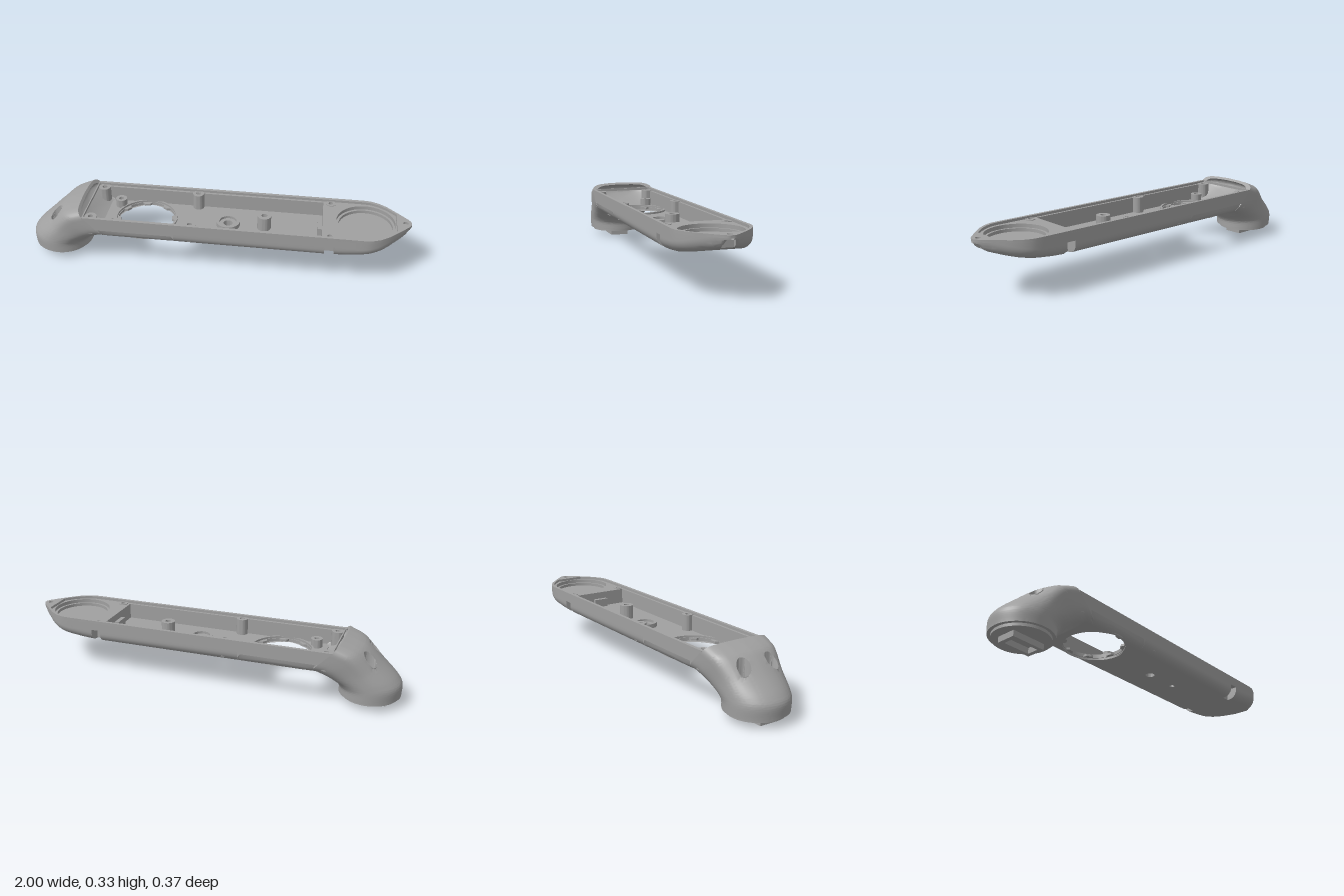
import * as THREE from 'three';
import { toCreasedNormals } from 'three/addons/utils/BufferGeometryUtils.js';

const grey = new THREE.MeshStandardMaterial({ color: 0xa0a0a0, side: THREE.DoubleSide });
grey.name = 'plain grey';

const SLOPE = 0.98;               // tilt of the joint between neck and tray
const HOLE = { x: -0.38, r: 0.157 };
const V = (x, y, z) => new THREE.Vector3(x, y, z);
const clamp = THREE.MathUtils.clamp;

export function createModel() {
  const model = new THREE.Group();
  const add = (name, geo, x = 0, y = 0, z = 0) => {
    const mesh = new THREE.Mesh(geo, grey);
    mesh.name = name;
    mesh.position.set(x, y, z);
    model.add(mesh);
    return mesh;
  };

  // Surface through equal-length rows of points
  const grid = (rows, crease = 0.6) => {
    const n = rows[0].length, index = [];
    for (let i = 0; i < rows.length - 1; i++)
      for (let j = 0; j < n - 1; j++) {
        const a = i * n + j, b = a + n;
        index.push(a, b, a + 1, b, b + 1, a + 1);
      }
    const geo = new THREE.BufferGeometry().setFromPoints(rows.flat());
    geo.setIndex(index);
    return toCreasedNormals(geo, crease);
  };

  // Horizontal plate from an outline in x and z
  const plate = (name, pts, holes, top, depth) => {
    const shape = new THREE.Shape(pts.map(p => new THREE.Vector2(...p)));
    shape.holes = holes.map(h => new THREE.Path(h.map(p => new THREE.Vector2(...p))));
    const geo = new THREE.ExtrudeGeometry(shape, { depth, bevelEnabled: false }).rotateX(Math.PI / 2);
    return add(name, toCreasedNormals(geo, 0.5), 0, top, 0);
  };
  const circle = (cx, cz, r, n = 48) => Array.from({ length: n }, (_, i) => {
    const a = i / n * Math.PI * 2, q = typeof r === 'function' ? r(i) : r;
    return [cx + q * Math.cos(a), cz + q * Math.sin(a)];
  });
  const rect = (x0, x1, w) => [[x0, -w], [x1, -w], [x1, w], [x0, w]];
  const tube = (name, x, z, r, bore, y0, y1) => {
    const pts = [[r, y0], [r, y1], [bore, y1], [bore, y0]].map(p => new THREE.Vector2(...p));
    add(name, toCreasedNormals(new THREE.LatheGeometry(pts, 40), 0.5), x, 0, z);
  };

  // Piecewise profiles along the tray: half width and underside height
  const along = (table, x) => {
    if (x <= table[0][0]) return table[0][1];
    for (let i = 1; i < table.length; i++) {
      const [a, p] = table[i - 1], [b, q] = table[i];
      if (x <= b) return p + (q - p) * (x - a) / (b - a);
    }
    return table.at(-1)[1];
  };
  const width = x => along([[0.76, 0.185], [0.80, 0.181], [0.84, 0.165], [0.88, 0.138], [0.92, 0.1], [0.96, 0.06], [0.985, 0.034], [0.995, 0.02], [1, 0.008]], x);
  const under = x => along([[0.6, 0.18], [0.68, 0.185], [0.76, 0.194], [0.84, 0.208], [0.9, 0.223], [0.95, 0.24], [0.985, 0.265], [1, 0.28]], x);
  const slant = (x, y) => x - (y - 0.18) * SLOPE * clamp((-0.2 - x) / 0.36, 0, 1);

  // Half cross-section of the tray, from the centre line out and up to the rim
  const half = x => {
    const w = width(x), y = under(x), r = Math.min(0.05, w * 0.45), c = w - r, ry = Math.min(0.05, 0.296 - y);
    const pts = [0, 0.029, 0.031, 0.05, 0.09].map(z => [Math.min(z, c), y]);
    for (let i = 0; i <= 8; i++) {
      const a = i / 8 * Math.PI / 2;
      pts.push([c + r * Math.sin(a), y + ry * (1 - Math.cos(a))]);
    }
    pts.push([w, Math.max(0.245, y + ry)], [w, Math.max(0.247, y + ry)], [w, 0.3]);
    return pts.map(([z, h]) => {
      if (x > 0.569 && x < 0.616 && h < 0.246) z = Math.min(z, 0.125);   // side screw pockets
      if (x > 0.946 && z < 0.03) h = Math.max(h, 0.28);                   // nose screw pocket
      return [z, h];
    });
  };
  const stations = [-0.2, 0.2, 0.568, 0.57, 0.615, 0.617];
  for (let i = 0; i <= 16; i++) stations.push(0.64 + i * 0.019);
  stations.push(0.945, 0.947, 0.96, 0.972, 0.985, 0.992, 1);

  for (const s of [1, -1]) {
    const side = s > 0 ? 'left' : 'right';
    add(side + 'TrayShell', grid(stations.filter(x => x < 0.56).concat(0.568).map(x => half(x).slice(3).map(([z, y]) => V(x, y, s * z)))));
    add(side + 'NoseShell', grid(stations.filter(x => x > 0.56).map(x => half(x).map(([z, y]) => V(x, y, s * z)))));
    add(side + 'RearWall', grid([-0.56, -0.38, -0.2].map(x => [0.23, 0.3].map(y => V(slant(x, y), y, s * 0.185)))));
  }
  plate('undersideStrip', rect(-0.2, 0.568, 0.05), [circle(0.06, 0, 0.024), circle(0.25, 0, 0.014)], 0.19, 0.01);

  // Underside around the large round opening
  const ring = [];
  for (let k = 0; k <= 12; k++) ring.push(Array.from({ length: 129 }, (_, i) => {
    const a = i / 128 * Math.PI * 2, c = Math.cos(a), s = Math.sin(a), t = k / 12;
    const edge = Math.min(0.18 / Math.max(Math.abs(c), 1e-6), 0.185 / Math.max(Math.abs(s), 1e-6));
    const d = HOLE.r + (edge - HOLE.r) * t, x = HOLE.x + d * c, z = d * s;
    const q = clamp((Math.abs(z) - 0.135) / 0.05, 0, 1);
    const y = 0.18 + 0.05 * (1 - Math.sqrt(1 - q * q));
    return V(slant(x, y), y, z);
  }));
  add('openingUnderside', grid(ring));
  tube('openingCollar', HOLE.x, 0, 0.167, HOLE.r, 0.187, 0.215);

  // Inner floor with a notched opening and bored holes
  plate('trayFloor', rect(-0.6, 0.56, 0.165),
    [circle(HOLE.x, 0, i => (i % 12 < 8 ? 0.153 : 0.137), 96), circle(0.06, 0, 0.024), circle(0.25, 0, 0.014)], 0.205, 0.012);

  // Rim, ledge and side walls
  const outline = (x0, xs, inset) => {
    const p = [x0, ...xs].map(x => [x, width(x) - inset]);
    return [...p, ...p.reverse().map(([x, z]) => [x, -z])];
  };
  const bow = [0.76, 0.78, 0.8, 0.82, 0.84, 0.86, 0.88, 0.9, 0.925];
  plate('rim', outline(-0.678, [...bow, 0.96, 0.985, 0.995, 1], 0), [outline(-0.672, bow, 0.017), circle(0.97, 0, 0.013, 24)], 0.3, 0.013);
  plate('frontDeck', outline(0.55, bow, 0.016), [circle(0.77, 0, 0.15, 64), circle(0.59, 0.15, 0.012, 20), circle(0.59, -0.15, 0.012, 20)], 0.287, 0.035);
  plate('wellFloor', circle(0.77, 0, 0.152, 64), [], 0.252, 0.01);
  tube('wellStep', 0.77, 0, 0.152, 0.138, 0.25, 0.268);
  add('partition', new THREE.BoxGeometry(0.015, 0.087, 0.32), 0.5575, 0.2435, 0);
  add('partitionTab', new THREE.BoxGeometry(0.025, 0.05, 0.08), 0.54, 0.225, 0);
  for (const s of [1, -1]) {
    add('sideWall', new THREE.BoxGeometry(1.23, 0.089, 0.015), -0.065, 0.2425, s * 0.1625);
    tube('rearScrewPost', -0.64, s * 0.145, 0.032, 0.013, 0.2, 0.29);
    tube('middleScrewPost', -0.12, s * 0.148, 0.03, 0.013, 0.2, 0.29);
    tube('frontScrewSeat', 0.59, s * 0.15, 0.026, 0.012, 0.26, 0.29);
    tube('shortPost', -0.54, s * 0.105, 0.03, 0.013, 0.2, 0.25);
  }
  tube('lowBoss', 0.06, 0, 0.062, 0.045, 0.2, 0.228);
  tube('lowBossCore', 0.06, 0, 0.046, 0.024, 0.18, 0.215);
  tube('tallPost', 0.25, 0, 0.036, 0.015, 0.18, 0.28);

  // Neck: sections turn from a flat circle at the foot to the tray's upright shape
  const outer = new THREE.CatmullRomCurve3([[-1, 0.045, 0.155], [-1, 0.11, 0.158], [-0.98, 0.142, 0.16], [-0.9, 0.218, 0.166],
    [-0.815, 0.293, 0.178], [-0.785, 0.308, 0.181], [-0.71, 0.333, 0.185]].map(p => V(...p)));
  const inner = new THREE.CatmullRomCurve3([[-0.69, 0.045, 0], [-0.69, 0.075, 0], [-0.68, 0.095, 0.05], [-0.645, 0.127, 0.3],
    [-0.605, 0.162, 0.7], [-0.585, 0.175, 0.85], [-0.56, 0.18, 1]].map(p => V(...p)));
  const endCurve = new THREE.CurvePath();
  const endPts = [...half(-0.3).map(([z, y]) => [z, y]), [0.178, 0.311], [0.163, 0.32], [0.135, 0.327], [0.08, 0.331], [0, 0.333]];
  for (let i = 1; i < endPts.length; i++) {
    const a = new THREE.Vector2(...endPts[i - 1]), b = new THREE.Vector2(...endPts[i]);
    if (a.distanceTo(b) > 1e-5) endCurve.add(new THREE.LineCurve(a, b));
  }
  const N = 48;
  const endShape = Array.from({ length: N + 1 }, (_, j) => endCurve.getPoint(j / N)).map(p => [p.x / 0.185, (p.y - 0.18) / 0.153]);
  const section = (t, scale = 1) => {
    const T = outer.getPoint(t), B = inner.getPoint(t), b = clamp(B.z, 0, 1), row = [];
    for (let j = -N; j <= N; j++) {
      const k = Math.abs(j), a = k / N * Math.PI;
      const z = THREE.MathUtils.lerp(Math.sin(a), endShape[k][0], b) * T.z * Math.sign(j) * scale;
      const u = 0.5 + (THREE.MathUtils.lerp((1 - Math.cos(a)) / 2, endShape[k][1], b) - 0.5) * scale;
      row.push(V(B.x + (T.x - B.x) * u, B.y + (T.y - B.y) * u, z));
    }
    return row;
  };
  // Sink two round screw pockets into the sloping back
  const sink = p => {
    const dx = p.x + 0.845, dz = p.z - Math.sign(p.z) * 0.08, d = Math.hypot(dx, dz);
    if (p.y < 0.17 || d > 0.041) return p;
    if (d < 0.026) return V(p.x, 0.16, p.z);
    const m = 0.033 / d - 1;
    return V(p.x + dx * m, p.y + dx * m * 0.9, p.z + dz * m);
  };
  const steps = 84;
  add('neck', grid(Array.from({ length: steps + 1 }, (_, i) => section(i / steps).map(sink)), 0.7));
  add('hoodEdge', grid([section(1), section(1, 0.86)]));
  add('hoodInside', grid(Array.from({ length: 11 }, (_, i) =>
    section(1 - 0.16 * i / 10, 0.86 * Math.sqrt(Math.max(1 - (i / 10) ** 2, 1e-6))))));
  for (const s of [1, -1]) tube('neckScrewSeat', -0.845, s * 0.08, 0.026, 0.013, 0.15, 0.166);

  // Foot: base, stepped disc and hollow key
  plate('footBase', circle(-0.845, 0, 0.155, 64), [], 0.047, 0.002);
  plate('footDisc', circle(-0.845, 0, 0.139, 64), [], 0.046, 0.016);
  plate('footKey', rect(-0.935, -0.755, 0.051), [rect(-0.915, -0.775, 0.031)], 0.031, 0.031);
  return model;
}
